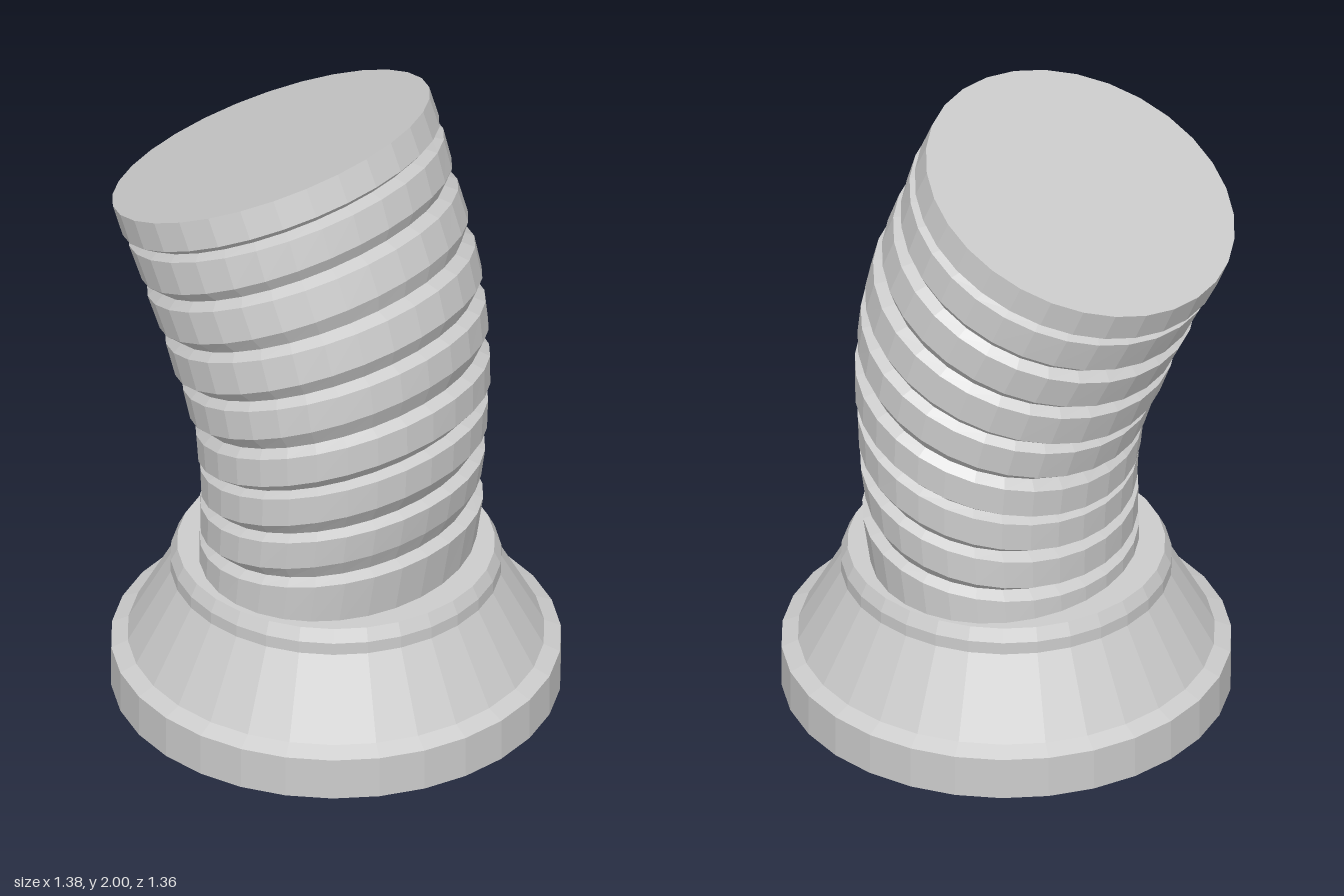
import * as THREE from 'three';

const SIDES = 30;
const material = new THREE.MeshStandardMaterial({ color: 0xcccccc, flatShading: true });

// A tilted elliptical ring spanning from its -x end to its +x end
const ring = (xl, yl, xr, yr, rz) => ({ xl, yl, xr, yr, rz });

// Groove between two bands: narrower than both, less tilted
function grooveBetween(a, b) {
  const mix = THREE.MathUtils.lerp;
  return ring(
    mix(a.xl, b.xl, 0.6) + 0.04, mix(a.yl, b.yl, 0.6),
    mix(a.xr, b.xr, 0.2) - 0.04, mix(a.yr, b.yr, 0.15),
    mix(a.rz, b.rz, 0.4) - 0.033);
}

// Skin a stack of rings and close it at the top
function loft(rings) {
  const pos = [];
  const point = (r, i) => {
    const a = (i % SIDES) / SIDES * Math.PI * 2, c = Math.cos(a);
    return [
      (r.xl + r.xr) / 2 + c * (r.xr - r.xl) / 2,
      (r.yl + r.yr) / 2 + c * (r.yr - r.yl) / 2,
      -0.004 + Math.sin(a) * r.rz];
  };
  for (let k = 0; k < rings.length - 1; k++) {
    for (let i = 0; i < SIDES; i++) {
      const a = point(rings[k], i), b = point(rings[k], i + 1);
      const c = point(rings[k + 1], i), d = point(rings[k + 1], i + 1);
      pos.push(...a, ...c, ...b, ...b, ...c, ...d);
    }
  }
  const top = rings[rings.length - 1];
  const centre = [(top.xl + top.xr) / 2, (top.yl + top.yr) / 2, -0.004];
  for (let i = 0; i < SIDES; i++) pos.push(...centre, ...point(top, i + 1), ...point(top, i));
  const g = new THREE.BufferGeometry();
  g.setAttribute('position', new THREE.Float32BufferAttribute(pos, 3));
  g.computeVertexNormals();
  return g;
}

export function createModel() {
  const group = new THREE.Group();

  // Flared round base with a closed flat top
  const profile = [[0, 0], [0.68, 0], [0.68, 0.137], [0.63, 0.16], [0.5, 0.4],
    [0.5, 0.44], [0.48, 0.48], [0, 0.48]].map(p => new THREE.Vector2(...p));
  const base = new THREE.Mesh(new THREE.LatheGeometry(profile, SIDES), material);
  base.name = 'base';
  base.position.x = 0.01;
  group.add(base);

  // Bands from bottom to top: lower edge (xl, yl, xr, yr), upper edge, z radius
  const bands = [
    [-0.38, 0.43, 0.405, 0.47, -0.38, 0.525, 0.435, 0.64, 0.463],
    [-0.375, 0.565, 0.425, 0.72, -0.378, 0.655, 0.442, 0.82, 0.465],
    [-0.373, 0.69, 0.447, 0.905, -0.378, 0.78, 0.452, 1.005, 0.47],
    [-0.384, 0.81, 0.458, 1.07, -0.394, 0.9, 0.458, 1.17, 0.478],
    [-0.41, 0.955, 0.447, 1.26, -0.44, 1.048, 0.437, 1.355, 0.492],
    [-0.463, 1.09, 0.42, 1.434, -0.5, 1.19, 0.394, 1.535, 0.505],
    [-0.516, 1.238, 0.362, 1.614, -0.563, 1.335, 0.325, 1.714, 0.514],
    [-0.58, 1.388, 0.298, 1.778, -0.632, 1.492, 0.27, 1.873, 0.52],
    [-0.653, 1.524, 0.251, 1.91, -0.69, 1.614, 0.214, 1.998, 0.526],
  ];
  const rings = [];
  for (const b of bands) {
    const lower = ring(...b.slice(0, 4), b[8]);
    const upper = ring(...b.slice(4, 8), b[8]);
    if (rings.length) rings.push(grooveBetween(rings[rings.length - 1], lower));
    rings.push(lower, upper);
  }
  const column = new THREE.Mesh(loft(rings), material);
  column.name = 'ribbedColumn';
  group.add(column);

  return group;
}
